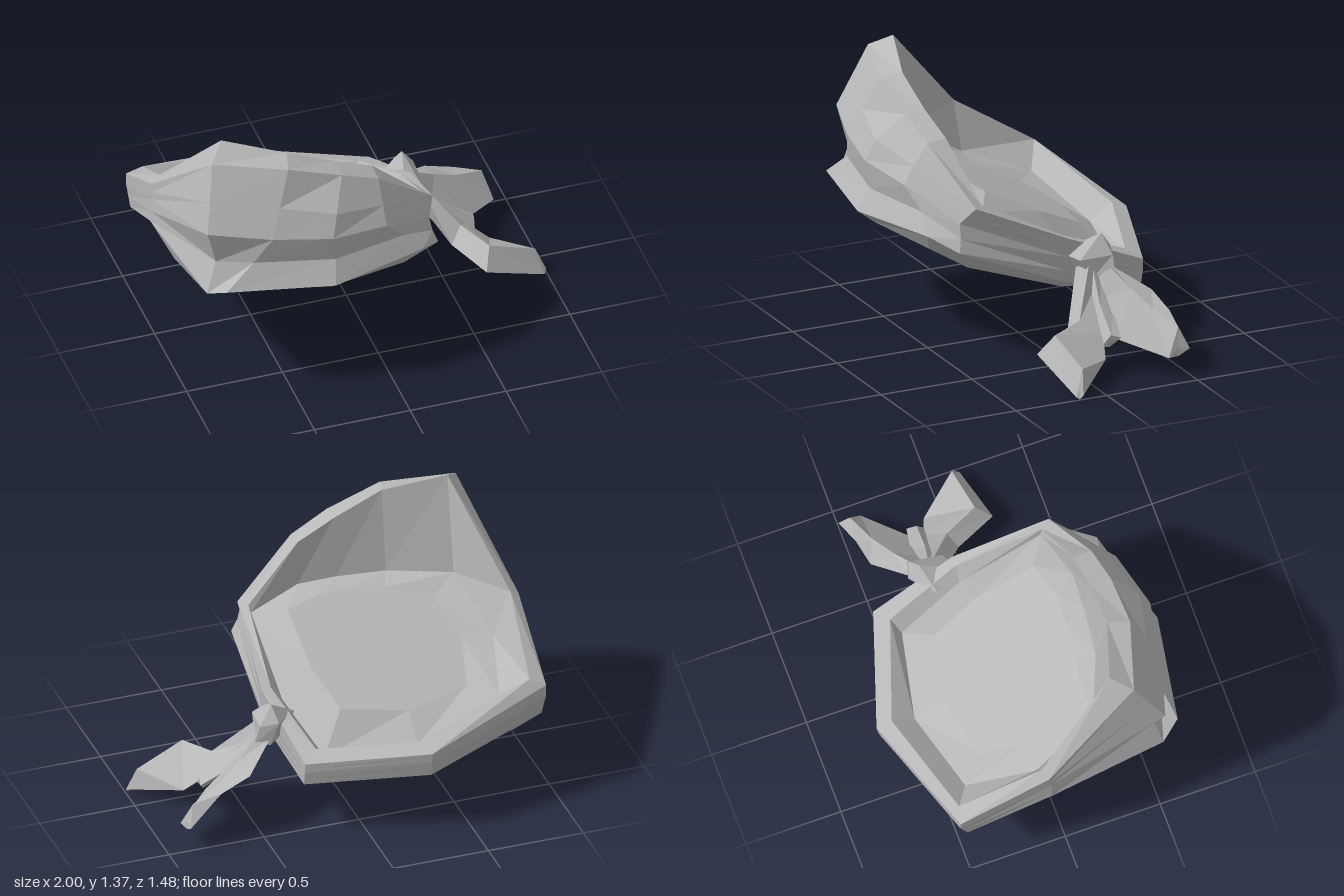
import * as THREE from 'three';

// Joins closed cross-sections into a faceted skin
function loft(rings) {
  const pos = [];
  for (let i = 0; i < rings.length - 1; i++) {
    const p = rings[i], q = rings[i + 1], n = p.length;
    for (let j = 0; j < n; j++) {
      const k = (j + 1) % n;
      if (p[j] !== p[k]) pos.push(...p[j], ...p[k], ...q[k]);
      if (q[j] !== q[k]) pos.push(...p[j], ...q[k], ...q[j]);
    }
  }
  const g = new THREE.BufferGeometry();
  g.setAttribute('position', new THREE.Float32BufferAttribute(pos, 3));
  g.computeVertexNormals();
  return g;
}
const point = (p, n) => Array(n).fill(p);
const centre = (ring) => [0, 1, 2].map((c) => ring.reduce((s, p) => s + p[c], 0) / ring.length);
// Ring between two others, swelled outwards (or pinched) at each station
const blend = (a, b, t, swell) =>
  a.map((p, j) => p.map((v, c) => (v + (b[j][c] - v) * t) * (c === 1 ? 1 : 1 + swell[j])));

export function createModel() {
  const model = new THREE.Group();
  const cloth = new THREE.MeshStandardMaterial({ color: 0xb8b8b8 });
  cloth.name = 'grey cloth';
  cloth.flatShading = true;
  const add = (name, rings) => {
    const m = new THREE.Mesh(loft(rings), cloth);
    m.name = name;
    model.add(m);
  };

  // Rings run back centre, right side, front, left side
  const hem = [[-0.3, 0.3, -0.58], [-0.83, 0.33, -0.46], [-0.93, 0.52, 0.1], [-0.82, 0.62, 0.52], [-0.76, 0.63, 0.58],
    [-0.3, 0.59, 0.65], [0.12, 0.57, 0.55], [0.25, 0.49, 0.4], [0.28, 0.32, -0.1], [0.15, 0.24, -0.36]];
  const lip = [[-0.3, 0.32, -0.72], [-0.96, 0.42, -0.5], [-1, 0.65, -0.07], [-0.91, 0.62, 0.55], [-0.84, 0.68, 0.65],
    [-0.3, 0.66, 0.74], [0.2, 0.67, 0.6], [0.32, 0.6, 0.48], [0.34, 0.37, -0.08], [0.3, 0.28, -0.53]];
  const bulge = [[-0.3, 0.4, -0.735], [-0.97, 0.54, -0.54], [-0.99, 0.78, -0.07], [-0.91, 0.99, 0.56], [-0.6, 0.95, 0.65],
    [-0.3, 0.92, 0.7], [0, 0.88, 0.63], [0.28, 0.74, 0.46], [0.36, 0.5, -0.1], [0.3, 0.35, -0.54]];
  const rimOuter = [[-0.3, 0.45, -0.74], [-0.97, 0.6, -0.54], [-0.99, 0.87, -0.08], [-0.84, 1.31, 0.42], [-0.48, 1.27, 0.53],
    [-0.2, 1.17, 0.53], [0, 1.08, 0.5], [0.32, 0.82, 0.39], [0.37, 0.6, -0.1], [0.3, 0.4, -0.54]];
  const rimInner = [[-0.3, 0.48, -0.66], [-0.89, 0.64, -0.52], [-0.94, 0.9, -0.1], [-0.76, 1.37, 0.32], [-0.45, 1.29, 0.42],
    [-0.2, 1.18, 0.42], [0, 1.09, 0.4], [0.28, 0.82, 0.34], [0.32, 0.6, -0.1], [0.22, 0.44, -0.48]];
  const floor = [[-0.3, 0.4, -0.54], [-0.76, 0.53, -0.44], [-0.85, 0.66, -0.1], [-0.76, 0.86, 0.23], [-0.45, 0.86, 0.36],
    [-0.2, 0.86, 0.39], [0, 0.85, 0.4], [0.27, 0.78, 0.33], [0.26, 0.52, -0.1], [0.16, 0.36, -0.44]];

  // Pinched fold under the bulge, and the brow above it
  const fold = blend(lip, bulge, 0.45, [0, 0, 0, -0.06, -0.06, -0.06, -0.05, -0.02, 0, 0]);
  const brow = blend(bulge, rimOuter, 0.45, [0, 0, 0, 0, 0, 0.05, 0.01, 0, 0, 0]);
  add('scarf wall', [hem, lip, fold, bulge, brow, rimOuter, rimInner, floor]);

  // Padded floor: its middle slopes evenly up to the front
  const pad = floor.map(([x, , z]) => [-0.3 + (x + 0.3) * 0.72, 0.7 + 0.36 * z, z * 0.72]);
  add('inner floor', [floor, pad, point([-0.3, 0.7, 0], 10)]);
  add('underside', [point([-0.3, 0.45, 0], 10), hem]);

  // Knot on the left side
  add('knot', [
    point([0.39, 0.43, -0.24], 5),
    [[0.4, 0.41, -0.32], [0.3, 0.42, -0.24], [0.36, 0.41, -0.16], [0.44, 0.4, -0.19], [0.48, 0.42, -0.3]],
    [[0.36, 0.53, -0.33], [0.24, 0.52, -0.22], [0.34, 0.51, -0.09], [0.43, 0.5, -0.13], [0.45, 0.51, -0.3]],
    point([0.38, 0.61, -0.27], 5),
  ]);

  // Tails: each section is front edge, ridge, back edge, underside
  const tail = (name, sections) => {
    const rings = sections.map((s) => [...s].reverse());
    const last = rings[rings.length - 1];
    add(name, [point(centre(rings[0]), 4), ...rings, point(centre(last), 4)]);
  };
  tail('front tail', [
    [[0.38, 0.45, -0.13], [0.43, 0.48, -0.18], [0.44, 0.4, -0.23], [0.38, 0.38, -0.19]],
    [[0.55, 0.18, 0], [0.61, 0.26, -0.04], [0.67, 0.19, -0.14], [0.58, 0.16, -0.07]],
    [[0.66, 0.14, 0.22], [0.7, 0.24, 0.14], [0.78, 0.1, -0.1], [0.69, 0.1, 0.05]],
    [[0.98, 0.01, 0.16], [0.95, 0.14, 0.11], [1, 0.02, 0.13], [0.99, 0, 0.145]],
  ]);
  tail('back tail', [
    [[0.4, 0.44, -0.2], [0.42, 0.48, -0.26], [0.4, 0.44, -0.31], [0.38, 0.4, -0.25]],
    [[0.52, 0.32, -0.21], [0.57, 0.37, -0.34], [0.56, 0.34, -0.46], [0.54, 0.29, -0.33]],
    [[0.7, 0.16, -0.21], [0.7, 0.29, -0.4], [0.72, 0.28, -0.48], [0.7, 0.17, -0.35]],
    [[0.9, 0.1, -0.39], [0.86, 0.24, -0.46], [0.89, 0.13, -0.51], [0.89, 0.1, -0.45]],
  ]);
  tail('middle tail', [
    [[0.4, 0.42, -0.16], [0.43, 0.45, -0.2], [0.42, 0.42, -0.25], [0.39, 0.38, -0.2]],
    [[0.55, 0.25, -0.1], [0.57, 0.31, -0.17], [0.58, 0.27, -0.24], [0.55, 0.22, -0.17]],
    [[0.71, 0.14, -0.11], [0.72, 0.2, -0.16], [0.73, 0.18, -0.21], [0.7, 0.13, -0.16]],
  ]);
  return model;
}
